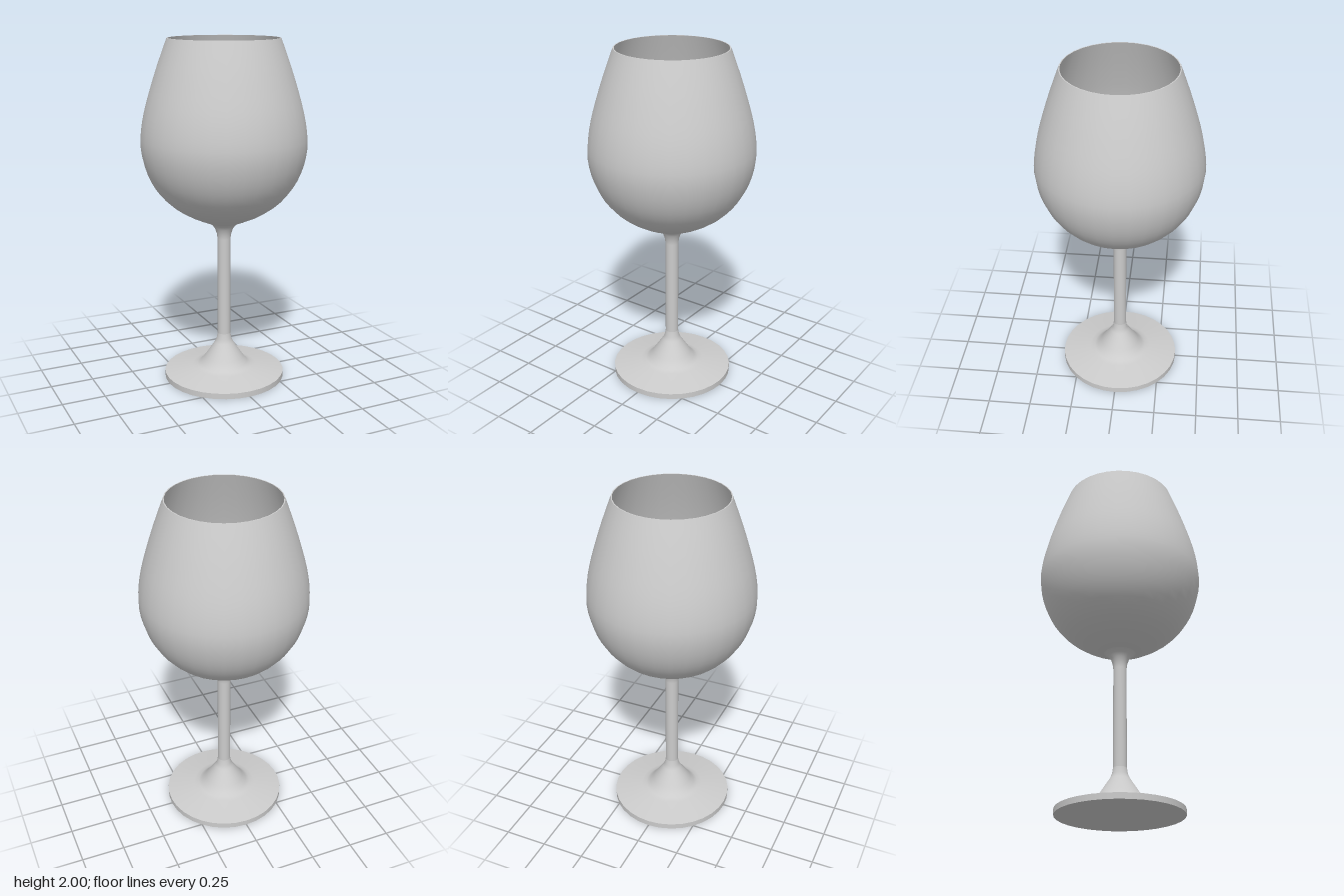
import * as THREE from 'three';

const SIDES = 32;
const material = new THREE.MeshStandardMaterial({ color: 0xcccccc });
const toPoints = (pairs) => pairs.map(([r, y]) => new THREE.Vector2(r, y));

// Each turned piece keeps smooth normals inside and a sharp edge at its ends
function turned(name, points) {
  const mesh = new THREE.Mesh(new THREE.LatheGeometry(points, SIDES), material);
  mesh.name = name;
  return mesh;
}

export function createModel() {
  const group = new THREE.Group();
  group.name = 'wineGlass';

  // Foot: flat underside, thin edge, then a sloped top flaring into the stem
  group.add(turned('footUnderside', toPoints([[0, 0], [0.355, 0]])));
  group.add(turned('footEdge', toPoints([[0.355, 0], [0.355, 0.033]])));
  group.add(turned('footTop', toPoints([
    [0.355, 0.033], [0.19, 0.062], [0.16, 0.07], [0.138, 0.085], [0.115, 0.115],
    [0.055, 0.205], [0.044, 0.23], [0.038, 0.265],
  ])));

  // Stem, flaring at the top into the bowl
  group.add(turned('stem', toPoints([
    [0.038, 0.265], [0.038, 0.85], [0.042, 0.88], [0.052, 0.91], [0.067, 0.932], [0.09, 0.948],
  ])));

  // Bowl outside, from the stem to the rim
  const outer = new THREE.SplineCurve(toPoints([
    [0.09, 0.948], [0.2, 0.995], [0.3, 1.058], [0.37, 1.128], [0.42, 1.205], [0.455, 1.295],
    [0.473, 1.395], [0.468, 1.49], [0.45, 1.59], [0.42, 1.7], [0.372, 1.85], [0.317, 2],
  ])).getPoints(22);
  group.add(turned('bowlOutside', outer));

  // Rim and bowl inside, a thin wall's width in from the outside
  group.add(turned('rim', toPoints([[0.317, 2], [0.311, 2]])));
  const inner = new THREE.SplineCurve(toPoints([
    [0.311, 2], [0.364, 1.85], [0.412, 1.7], [0.442, 1.59], [0.46, 1.49], [0.465, 1.395],
    [0.447, 1.297], [0.412, 1.21], [0.362, 1.135], [0.294, 1.067], [0.2, 1.008], [0.145, 0.984],
  ])).getPoints(22);
  group.add(turned('bowlInside', inner));
  group.add(turned('bowlFloor', toPoints([[0.145, 0.984], [0, 0.975]])));

  return group;
}
